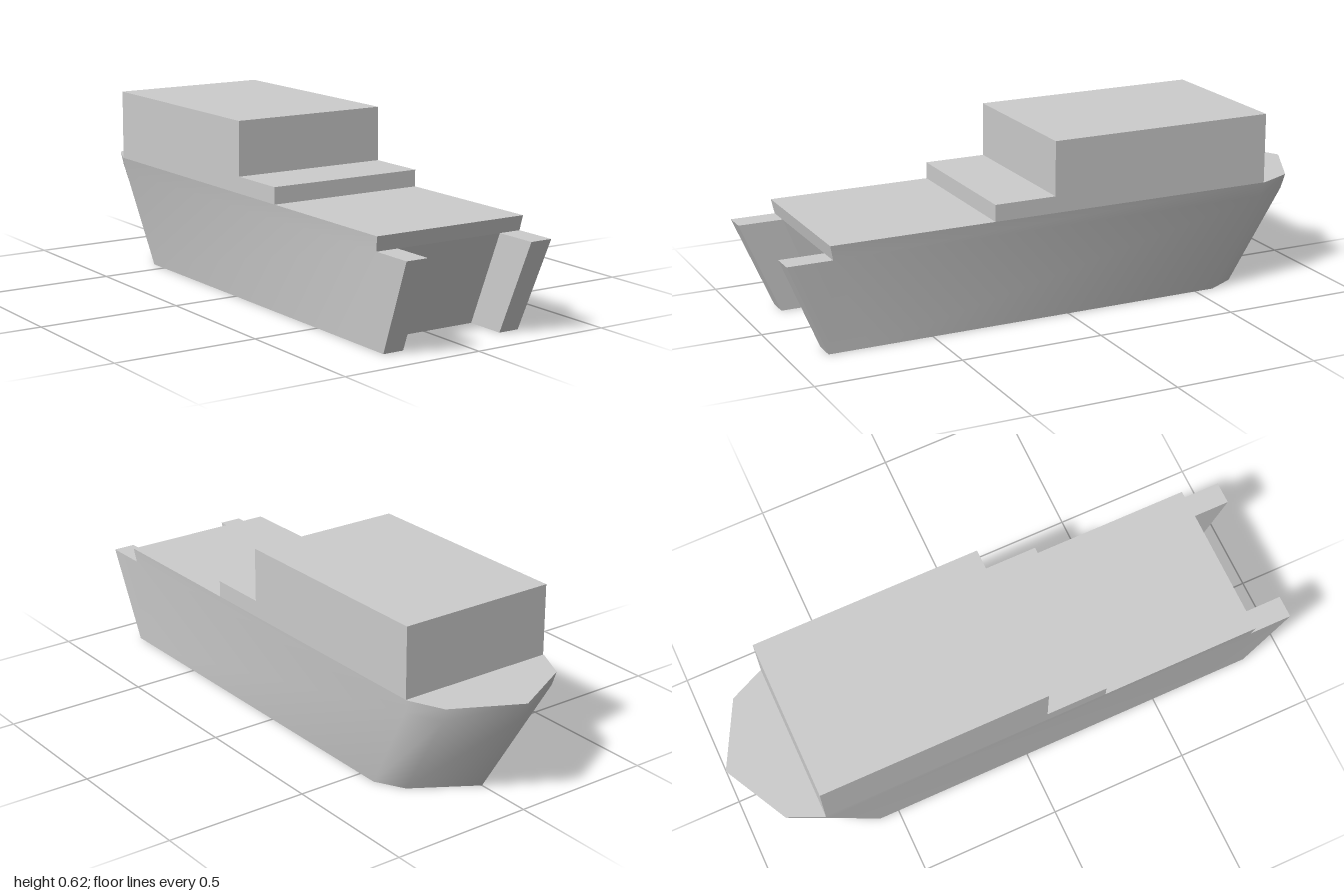
import * as THREE from 'three';
import { toCreasedNormals } from 'three/addons/utils/BufferGeometryUtils.js';

const material = new THREE.MeshStandardMaterial({ color: 0xcccccc });

// Closed ring at height y from the left half, listed from stern to bow tip [x, z]
function ring(y, half) {
  const mirrored = half.filter(([x]) => x > 0).reverse().map(([x, z]) => [-x, z]);
  return [...half, ...mirrored].map(([x, z]) => new THREE.Vector3(x, y, z));
}

// Wall between two rings of equal point count
function addWall(out, lower, upper) {
  lower.forEach((a, i) => {
    const j = (i + 1) % lower.length;
    out.push(a, lower[j], upper[j], a, upper[j], upper[i]);
  });
}

// Flat cap over a ring, facing up or down
function addCap(out, points, up) {
  const flat = points.map((p) => new THREE.Vector2(p.x, -p.z));
  for (const [a, b, c] of THREE.ShapeUtils.triangulateShape(flat, [])) {
    out.push(points[a], points[up ? b : c], points[up ? c : b]);
  }
}

function buildHull() {
  const keel = ring(0, [[0.19, 0.72], [0.19, 0.865], [0.265, 0.865], [0.265, 0.72],
    [0.265, -0.57], [0.21, -0.67], [0, -0.8]]);
  const rail = ring(0.32, [[0.2, 0.845], [0.2, 1], [0.28, 1], [0.28, 0.845],
    [0.28, -0.745], [0.225, -0.865], [0, -0.988]]);
  const railInner = ring(0.32, [[0.28, 0.845], [0.28, -0.745], [0.225, -0.865], [0, -0.988]]);
  const deck = ring(0.37, [[0.285, 0.855], [0.285, -0.76], [0.23, -0.88], [0, -1]]);

  const points = [];
  addWall(points, keel, rail);
  addWall(points, railInner, deck);
  addCap(points, keel, false);
  addCap(points, deck, true);
  // Tops of the two stern arms
  addCap(points, rail.slice(0, 4), true);
  addCap(points, rail.slice(-4), true);

  const geometry = new THREE.BufferGeometry().setFromPoints(points);
  return toCreasedNormals(geometry, THREE.MathUtils.degToRad(58));
}

// Block spanning the full beam between two heights and two z positions
function block(name, y0, y1, zBack, zFront) {
  const mesh = new THREE.Mesh(new THREE.BoxGeometry(0.57, y1 - y0, zFront - zBack), material);
  mesh.position.set(0, (y0 + y1) / 2, (zBack + zFront) / 2);
  mesh.name = name;
  return mesh;
}

export function createModel() {
  const model = new THREE.Group();
  model.name = 'boat';

  const hull = new THREE.Mesh(buildHull(), material);
  hull.name = 'hull';
  model.add(hull);

  // Superstructure
  model.add(block('deckStep', 0.37, 0.428, 0.06, 0.28));
  model.add(block('cabin', 0.37, 0.617, -0.755, 0.06));
  return model;
}
